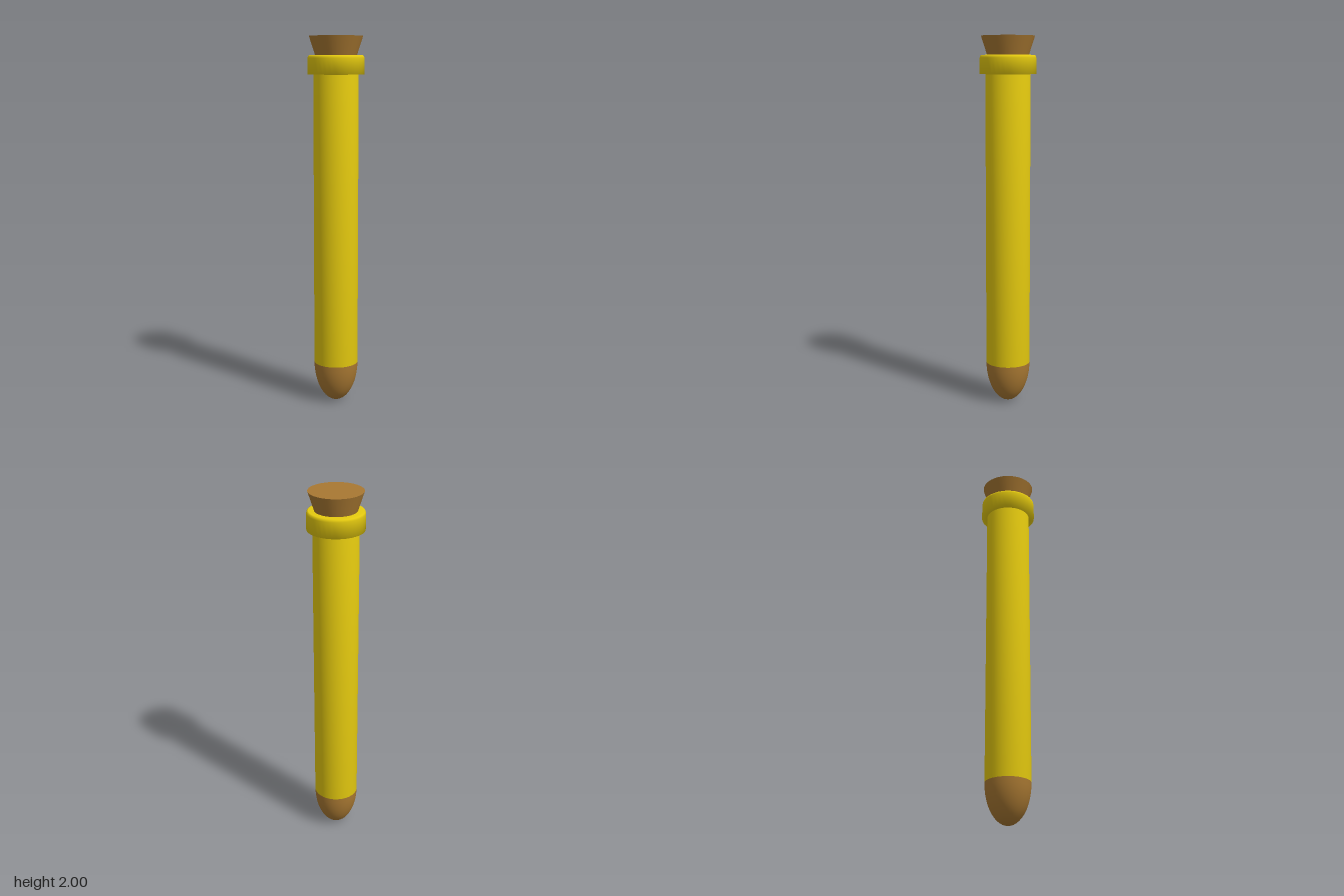
import * as THREE from 'three';

const glass = new THREE.MeshStandardMaterial({ color: 0xe6cb0f });
glass.name = 'yellow glass';
const cork = new THREE.MeshStandardMaterial({ color: 0xa87832 });
cork.name = 'brown cork';

const SEGMENTS = 36;

// Smooth turned part from [radius, height] pairs, listed from bottom to top
function turned(name, profile, material) {
  const points = profile.map(([r, y]) => new THREE.Vector2(r, y));
  const mesh = new THREE.Mesh(new THREE.LatheGeometry(points, SEGMENTS), material);
  mesh.name = name;
  return mesh;
}

export function createModel() {
  const group = new THREE.Group();
  group.name = 'stopperedTube';

  // Rounded bottom: half an ellipsoid
  const tip = [];
  for (let i = 0; i <= 12; i++) {
    const a = (i / 12) * Math.PI / 2;
    tip.push([0.12 * Math.sin(a), 0.22 * (1 - Math.cos(a))]);
  }
  group.add(turned('roundedTip', tip, cork));

  // Long straight tube, its end normals softened into the end discs
  group.add(turned('tubeBody', [[0, 0.22], [0.12, 0.22], [0.12, 1.82], [0, 1.82]], glass));

  // Collar around the mouth with a softened upper edge
  group.add(turned('collar', [
    [0.1, 1.8], [0.15, 1.8], [0.15, 1.885], [0.147, 1.896], [0.14, 1.9], [0.1, 1.9],
  ], glass));

  // Tapered stopper
  const stopper = new THREE.Mesh(new THREE.CylinderGeometry(0.143, 0.085, 0.18, SEGMENTS), cork);
  stopper.name = 'stopper';
  stopper.position.y = 1.91;
  group.add(stopper);

  return group;
}
